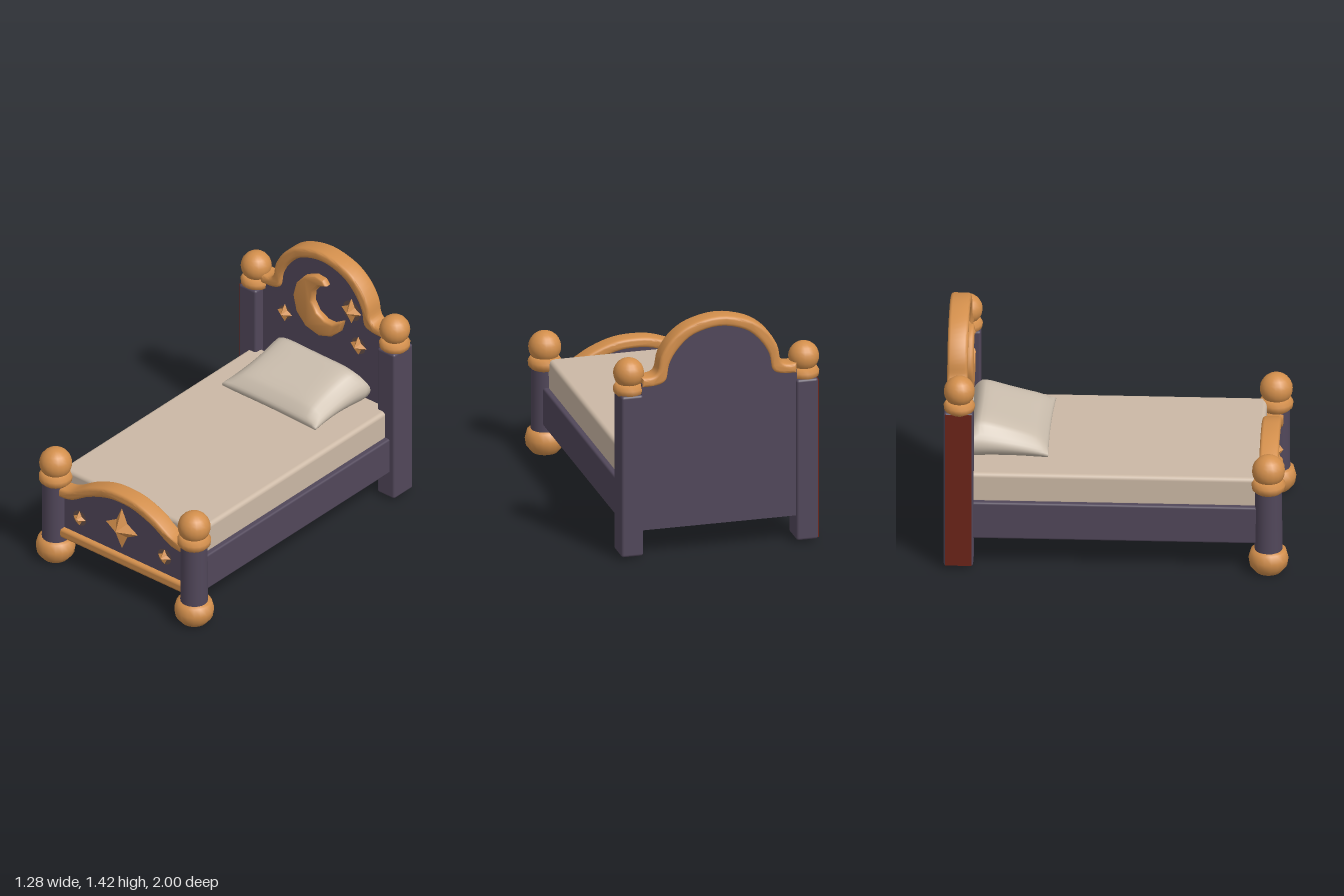
import * as THREE from 'three';
import { mergeVertices, toCreasedNormals } from 'three/addons/utils/BufferGeometryUtils.js';
import { RoundedBoxGeometry } from 'three/addons/geometries/RoundedBoxGeometry.js';

const material = (name, color, extra = {}) => {
  const m = new THREE.MeshStandardMaterial({ color, ...extra });
  m.name = name;
  return m;
};

export function createModel() {
  const purple = material('purple wood', 0x51475a);
  const gold = material('golden wood', 0xd38f4c);
  const cream = material('cream bedding', 0xcbb8a5);
  const linen = material('pillow linen', 0xcabdad);
  const red = material('red side panel', 0x6b2318);
  const halo = material('brown halo', 0x66504a);

  const bed = new THREE.Group();
  bed.name = 'bed';
  const add = (name, geometry, mat, x = 0, y = 0, z = 0) => {
    const mesh = new THREE.Mesh(geometry, mat);
    mesh.name = name;
    mesh.position.set(x, y, z);
    bed.add(mesh);
    return mesh;
  };
  const lathe = (points) =>
    new THREE.LatheGeometry(points.map(([r, y]) => new THREE.Vector2(r, y)), 18);

  // Extrude a shape between two depths, with rounded edges
  const extrude = (points, z0, z1, bevel) => {
    const geo = new THREE.ExtrudeGeometry(new THREE.Shape(points), {
      depth: z1 - z0 - 2 * bevel, bevelEnabled: bevel > 0, bevelSize: bevel,
      bevelThickness: bevel, bevelOffset: -bevel, bevelSegments: 3,
    });
    geo.translate(0, 0, z0 + bevel);
    return toCreasedNormals(geo, 0.75);
  };
  // Mirror the left half of a crest line and smooth it
  const crest = (half) => {
    const right = half.slice(0, -1).reverse().map(([x, y]) => [-x, y]);
    const pts = [...half, ...right].map(([x, y]) => new THREE.Vector2(x, y));
    return new THREE.SplineCurve(pts).getPoints(48);
  };
  const archedBoard = (name, outerHalf, innerHalf, bottom, panelZ, trimZ) => {
    const outer = crest(outerHalf);
    const inner = crest(innerHalf);
    add(name + 'Trim', extrude([...outer, ...inner.slice().reverse()], ...trimZ, 0.018), gold);
    // the panel reaches halfway into the trim
    const mid = outer.map((p, i) => p.clone().lerp(inner[i], 0.6));
    const e = mid[0].x;
    const panel = [new THREE.Vector2(e, bottom), ...mid, new THREE.Vector2(-e, bottom)];
    add(name + 'Panel', extrude(panel, ...panelZ, 0), purple);
  };

  // Headboard and footboard
  archedBoard('headboard',
    [[-0.46, 1.1], [-0.4, 1.1], [-0.365, 1.13], [-0.345, 1.22], [-0.28, 1.32], [-0.17, 1.395], [0, 1.43]],
    [[-0.46, 1.04], [-0.37, 1.045], [-0.315, 1.075], [-0.295, 1.17], [-0.24, 1.26], [-0.15, 1.335], [0, 1.37]],
    0.17, [-0.958, -0.872], [-0.967, -0.85]);
  archedBoard('footboard',
    [[-0.47, 0.51], [-0.38, 0.525], [-0.25, 0.6], [-0.12, 0.648], [0, 0.66]],
    [[-0.47, 0.45], [-0.37, 0.465], [-0.24, 0.54], [-0.11, 0.588], [0, 0.6]],
    0.19, [0.83, 0.892], [0.815, 0.925]);
  add('footboardLowerRail', new RoundedBoxGeometry(0.94, 0.065, 0.1, 3, 0.02), gold, 0, 0.208, 0.87);

  // Posts, feet, collars and ball finials
  const collar = lathe([[0, -0.045], [0.07, -0.045], [0.095, -0.02], [0.098, 0.01], [0.08, 0.04], [0, 0.045]]);
  const foot = lathe([[0, 0.005], [0.075, 0.005], [0.108, 0.045], [0.115, 0.09], [0.102, 0.138], [0.07, 0.148], [0, 0.148]]);
  const ball = new THREE.SphereGeometry(0.095, 18, 12);
  for (const side of [-1, 1]) {
    const x = side * 0.52;
    add('frontPost', new THREE.CylinderGeometry(0.077, 0.08, 0.4, 20), purple, x, 0.33, 0.88);
    add('frontFoot', foot, gold, x, 0, 0.88);
    add('frontCollar', collar, gold, x, 0.55, 0.88);
    add('frontBall', ball, gold, x, 0.642, 0.88);
    add('backPost', new RoundedBoxGeometry(0.13, 0.98, 0.168, 2, 0.015), purple, x, 0.51, -0.893);
    add('backCollar', collar, gold, x, 1.02, -0.89).scale.set(0.92, 0.9, 0.92);
    add('backBall', ball, gold, x, 1.115, -0.89).scale.setScalar(0.94);
  }
  add('postSidePanel', new THREE.BoxGeometry(0.006, 0.965, 0.15), red, -0.585, 0.51, -0.893);

  // Base and mattress
  add('bedBase', new RoundedBoxGeometry(1.1, 0.23, 1.72, 2, 0.012), purple, 0, 0.3, -0.02);
  add('mattress', new RoundedBoxGeometry(1.035, 0.19, 1.7, 4, 0.025), cream, 0, 0.49, -0.02);

  // Pillow: a box swollen towards its middle and raised against the headboard
  const pillowBox = new THREE.BoxGeometry(2, 2, 2, 20, 6, 16);
  pillowBox.deleteAttribute('uv');
  pillowBox.deleteAttribute('normal');
  const pillow = mergeVertices(pillowBox);
  const pos = pillow.attributes.position;
  for (let i = 0; i < pos.count; i++) {
    const [u, v, w] = [pos.getX(i), pos.getY(i), pos.getZ(i)];
    const swell = Math.sqrt((1 - 0.93 * u ** 6) * (1 - 0.85 * w ** 6));
    const roundSide = 1 - 0.09 * v * v;
    const x = u * 0.36 * roundSide * (1 - 0.05 * (1 - w * w));
    const z = w * 0.235 * roundSide * (1 - 0.04 * (1 - u * u));
    const height = (0.155 - 0.04 * w) * (0.35 + 0.65 * swell);
    const lift = 0.022 * (1 - w) * (v + 1) / 2;
    pos.setXYZ(i, x, (v + 1) / 2 * height + lift + 0.02 * (1 - swell), z);
  }
  pillow.computeVertexNormals();
  add('pillow', pillow, linen, 0.014, 0.582, -0.615).rotation.y = -0.02;

  // Crescent moon
  const outerMoon = [[0.055, 1.235], [0.03, 1.268], [-0.03, 1.275], [-0.11, 1.24], [-0.17, 1.17], [-0.193, 1.08],
    [-0.17, 0.98], [-0.1, 0.905], [0, 0.88], [0.09, 0.91], [0.15, 0.965], [0.172, 1.04]];
  const innerMoon = [[0.15, 1.03], [0.1, 1.0], [0.045, 1.0], [-0.015, 1.03], [-0.052, 1.09], [-0.045, 1.155], [0, 1.215]];
  const moon = [...outerMoon, ...innerMoon].map(([x, y]) => new THREE.Vector2(x, y));
  add('moon', extrude(moon, -0.875, -0.825, 0.014), gold);

  // Four-pointed stars: a flat-faced pyramid over alternating long and short rays
  const starGeometry = (rx, ry, depth) => {
    const ring = (i) => {
      const a = i * Math.PI / 4;
      const r = i % 2 ? 0.48 : 1;
      return [Math.cos(a) * r * rx, Math.sin(a) * r * ry, 0];
    };
    const corners = [];
    for (let i = 0; i < 8; i++) corners.push(...ring(i), ...ring(i + 1), 0, 0, depth);
    const geo = new THREE.BufferGeometry();
    geo.setAttribute('position', new THREE.Float32BufferAttribute(corners, 3));
    geo.computeVertexNormals();
    return geo;
  };
  const stars = [ // x, y, z, half width, half height, halo radius
    [0.213, 1.12, -0.871, 0.075, 0.085, 0.065],
    [-0.287, 0.9, -0.871, 0.055, 0.06, 0.045],
    [0.265, 0.905, -0.871, 0.06, 0.062, 0.052],
    [-0.01, 0.415, 0.893, 0.12, 0.135, 0],
    [-0.328, 0.35, 0.893, 0.046, 0.05, 0.048],
    [0.31, 0.355, 0.893, 0.048, 0.05, 0.05],
  ];
  for (const [x, y, z, rx, ry, r] of stars) {
    add('star', starGeometry(rx, ry, 0.02 + rx * 0.3), gold, x, y, z + 0.002);
    if (r) add('starHalo', new THREE.CircleGeometry(r, 24), halo, x, y, z + 0.001);
  }

  // The whole bed stands very slightly turned
  bed.rotation.y = -0.022;
  bed.position.x = 0.007;
  const model = new THREE.Group();
  model.name = 'moonBed';
  model.add(bed);
  return model;
}
